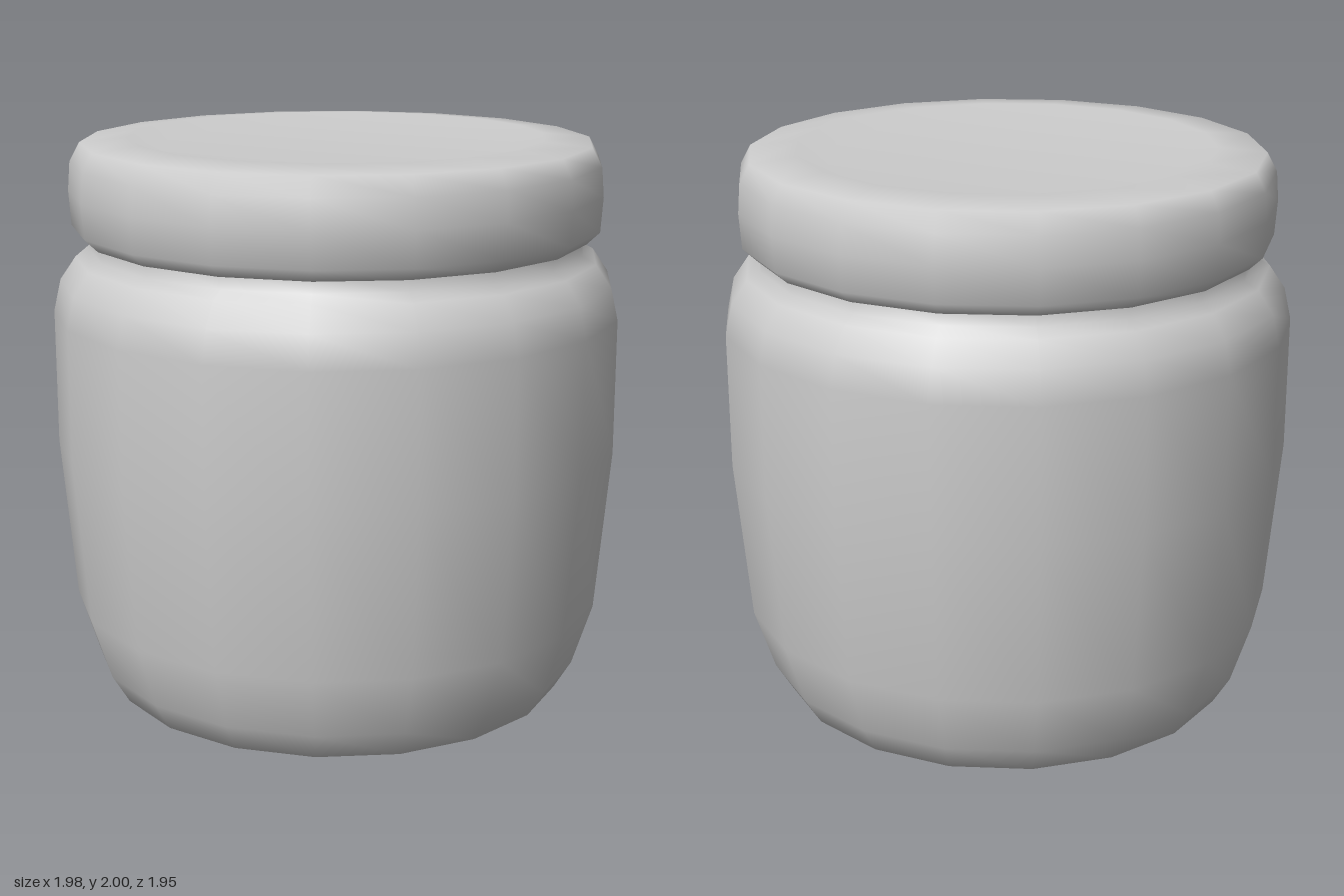
import * as THREE from 'three';

const SIDES = 18;

// Smooth turned part with a corner pointing along +x
function turned(name, profile, material) {
  const points = profile.map(([r, y]) => new THREE.Vector2(r, y));
  const mesh = new THREE.Mesh(new THREE.LatheGeometry(points, SIDES, Math.PI / 2), material);
  mesh.name = name;
  return mesh;
}

export function createModel() {
  const model = new THREE.Group();
  model.name = 'jar';
  const grey = new THREE.MeshStandardMaterial({ color: 0xcccccc });
  grey.name = 'light grey';

  // Jar: flat base, rounded foot, tapered wall, shoulder and short neck
  model.add(turned('jarBody', [
    [0, 0], [0.72, 0], [0.81, 0.04], [0.87, 0.14], [0.94, 0.36], [0.99, 0.93],
    [0.99, 1.4], [0.965, 1.51], [0.91, 1.59], [0.862, 1.615], [0.862, 1.68],
  ], grey));

  // Lid: rolled skirt, rounded rim and a shallow recessed top
  model.add(turned('lid', [
    [0.84, 1.655], [0.875, 1.657], [0.92, 1.7], [0.928, 1.82], [0.92, 1.92],
    [0.885, 1.985], [0.72, 2], [0.62, 1.965], [0, 1.965],
  ], grey));

  return model;
}
